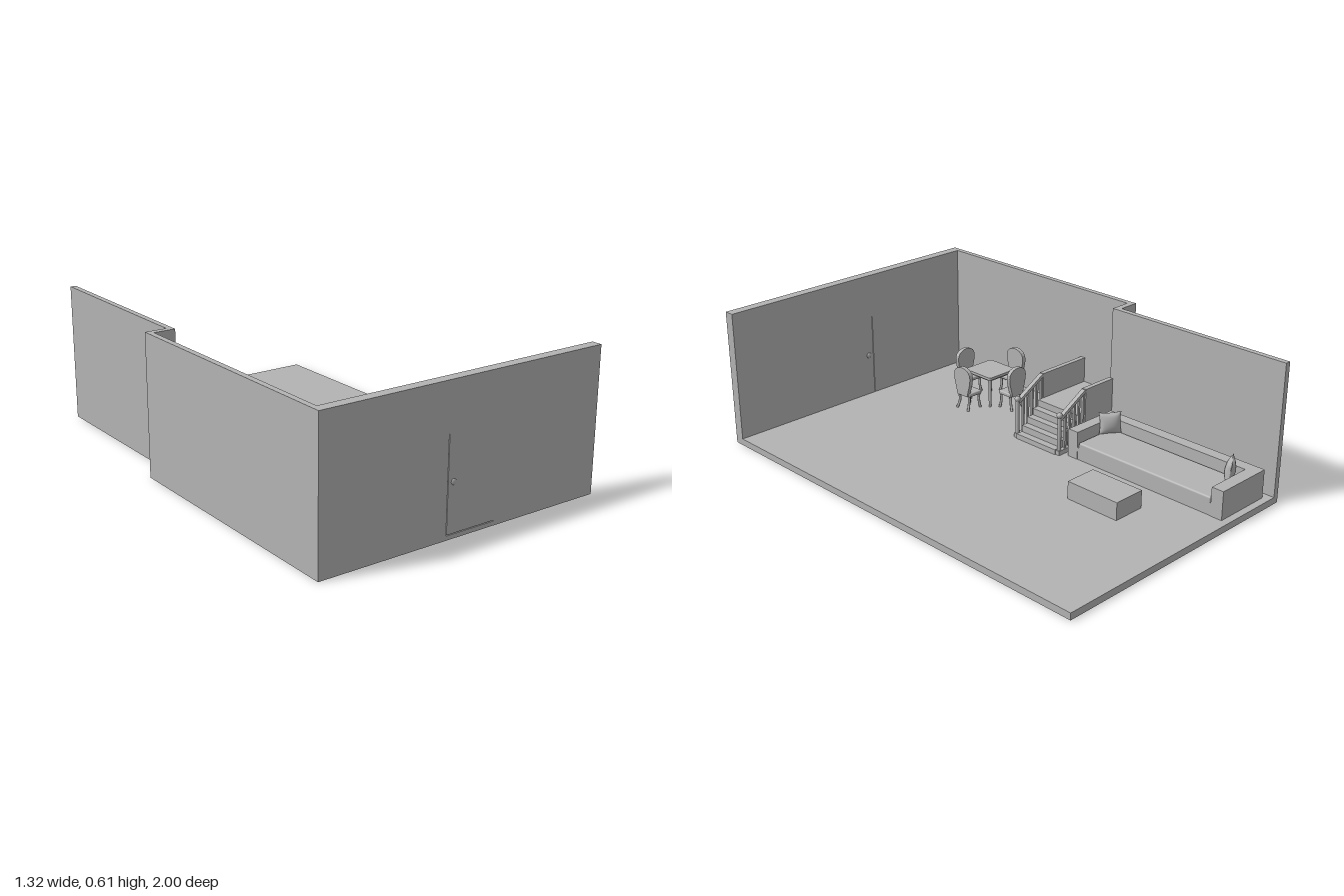
import * as THREE from 'three';
import { RoundedBoxGeometry } from 'three/addons/geometries/RoundedBoxGeometry.js';

const plaster = new THREE.MeshStandardMaterial({ color: 0xb3b3b3 });
plaster.name = 'plainGrey';

const FLOOR = 0.03;

function add(parent, name, geometry, x = 0, y = 0, z = 0) {
  const mesh = new THREE.Mesh(geometry, plaster);
  mesh.name = name;
  mesh.position.set(x, y, z);
  parent.add(mesh);
  return mesh;
}

// Box given by its lower and upper limits on each axis
function block(parent, name, x0, x1, y0, y1, z0, z1) {
  return add(parent, name, new THREE.BoxGeometry(x1 - x0, y1 - y0, z1 - z0),
    (x0 + x1) / 2, (y0 + y1) / 2, (z0 + z1) / 2);
}

function group(parent, name) {
  const g = new THREE.Group();
  g.name = name;
  parent.add(g);
  return g;
}

const outline = (points) => new THREE.Shape(points.map(([x, y]) => new THREE.Vector2(x, y)));
const extrude = (shape, depth) =>
  new THREE.ExtrudeGeometry(shape, { depth, bevelEnabled: false, curveSegments: 10 });

// Raises a plan of [x, z] points to the given height
function plan(points, height) {
  return extrude(outline(points.map(([x, z]) => [x, -z])), height).rotateX(-Math.PI / 2);
}

function buildRoom(root) {
  const room = group(root, 'room');
  add(room, 'floor', plan([[-0.635, 0.955], [0.66, 0.955], [0.66, -1], [-0.54, -1],
    [-0.54, -0.122], [-0.635, -0.122]], FLOOR));
  add(room, 'sideWall', plan([[-0.66, 0.955], [-0.635, 0.955], [-0.635, -0.122], [-0.54, -0.122],
    [-0.54, -1], [-0.565, -1], [-0.565, -0.15], [-0.66, -0.15]], 0.61));

  // Front wall with a slim gap round the door
  const wall = outline([[-0.66, 0], [0.66, 0], [0.66, 0.61], [-0.66, 0.61]]);
  wall.holes.push(outline([[-0.092, 0.018], [-0.092, 0.41], [0.142, 0.41], [0.142, 0.018]]));
  add(room, 'frontWall', extrude(wall, 0.045), 0, 0, 0.955);
  block(room, 'door', -0.089, 0.142, 0.021, 0.41, 0.955, 1);
  for (const z of [0.953, 0.998]) {
    const knob = add(room, 'doorKnob', new THREE.SphereGeometry(0.013, 20, 12), -0.063, 0.223, z);
    knob.scale.z = 0.5;
  }
}

function buildStairs(root) {
  const stairs = group(root, 'stairs');
  // Stepped profile running up to the landing
  const profile = [[-0.64, FLOOR], [-0.2, FLOOR]];
  for (let i = 0; i < 5; i++) {
    const x = -0.2 - i * 0.0335;
    const y = 0.053 + i * 0.0302;
    profile.push([x, y], [i < 4 ? x - 0.0335 : -0.64, y]);
  }
  add(stairs, 'stepsAndLanding', extrude(outline(profile), 0.23), 0, 0, -0.115);

  for (const z of [-0.125, 0.125]) {
    const rail = group(stairs, 'balustrade');
    const start = z < 0 ? -0.54 : -0.635;
    block(rail, 'landingPanel', start, -0.366, FLOOR, 0.29, z - 0.011, z + 0.011);
    block(rail, 'stringer', -0.366, -0.205, FLOOR, 0.05, z - 0.01, z + 0.01);

    // Sloped handrail and balusters
    const slope = Math.atan2(-0.085, 0.15);
    const handrail = add(rail, 'handrail', new THREE.BoxGeometry(0.172, 0.014, 0.02), -0.291, 0.24, z);
    handrail.rotation.z = slope;
    for (let i = 0; i < 5; i++) {
      const x = -0.25 - i * 0.028;
      const top = 0.24 + (x + 0.291) * Math.tan(slope);
      block(rail, 'baluster', x - 0.005, x + 0.005, 0.05, top, z - 0.005, z + 0.005);
    }
    add(rail, 'newelPost', new THREE.CylinderGeometry(0.009, 0.009, 0.18, 16), -0.215, 0.12, z);
    add(rail, 'newelCap', new THREE.SphereGeometry(0.013, 16, 10), -0.215, 0.212, z);
  }
}

// Square cushion, thick in the middle and pinched along the seams
function pillowGeometry(size, thickness) {
  const g = new THREE.BoxGeometry(2, 2, 2, 12, 12, 2);
  const p = g.attributes.position;
  for (let i = 0; i < p.count; i++) {
    const u = p.getX(i), v = p.getY(i);
    const puff = 0.04 + 0.96 * Math.sqrt((1 - u * u) * (1 - v * v));
    p.setXYZ(i,
      u * (1 - 0.1 * (1 - v * v)) * size / 2,
      v * (1 - 0.1 * (1 - u * u)) * size / 2,
      p.getZ(i) * puff * thickness / 2);
  }
  g.computeVertexNormals();
  return g;
}

function buildSofa(root) {
  const sofa = group(root, 'sofa');
  // Back and arms as one U-shaped body
  add(sofa, 'backAndArms', plan([[-0.505, -0.16], [-0.235, -0.16], [-0.235, -0.212], [-0.452, -0.212],
    [-0.452, -0.912], [-0.235, -0.912], [-0.235, -0.968], [-0.505, -0.968]], 0.126), 0, FLOOR, 0);
  block(sofa, 'seatBase', -0.452, -0.237, FLOOR, 0.085, -0.912, -0.212);
  add(sofa, 'seatCushion', new RoundedBoxGeometry(0.21, 0.045, 0.692, 3, 0.008), -0.342, 0.086, -0.562);

  const shape = pillowGeometry(0.1, 0.045);
  for (const [z, turn] of [[-0.87, 0.6], [-0.24, -0.6]]) {
    const pillow = add(sofa, 'pillow', shape, -0.41, 0.153, z);
    pillow.rotation.set(turn > 0 ? -0.15 : 0.15, turn, 0, 'YXZ');
  }
}

function buildChair(parent, angle) {
  const chair = group(parent, 'chair');
  chair.rotation.y = angle;

  // Arched backrest, narrow at the seat
  const back = new THREE.Shape();
  back.moveTo(-0.032, 0.1);
  back.bezierCurveTo(-0.04, 0.14, -0.052, 0.16, -0.052, 0.195);
  back.bezierCurveTo(-0.052, 0.25, 0.052, 0.25, 0.052, 0.195);
  back.bezierCurveTo(0.052, 0.16, 0.04, 0.14, 0.032, 0.1);
  add(chair, 'backrest', extrude(back, 0.019), 0, 0, 0.161);
  add(chair, 'seat', new RoundedBoxGeometry(0.082, 0.018, 0.075, 2, 0.005), 0, 0.106, 0.133);

  // Curved legs, splayed outward at the foot
  for (const x of [-0.032, 0.032]) {
    for (const [z, out] of [[0.104, -0.004], [0.166, 0.012]]) {
      const path = new THREE.CatmullRomCurve3([
        new THREE.Vector3(x, 0.1, z),
        new THREE.Vector3(x * 0.95, 0.065, z),
        new THREE.Vector3(x * 1.12, FLOOR, z + out),
      ]);
      add(chair, 'leg', new THREE.TubeGeometry(path, 8, 0.006, 8));
    }
  }
}

function buildDining(root) {
  const dining = group(root, 'diningSet');
  dining.position.set(-0.425, 0, 0.512);

  // Table top with rounded corners
  const h = 0.083, r = 0.012;
  const top = new THREE.Shape();
  top.moveTo(-h + r, -h);
  top.lineTo(h - r, -h);
  top.quadraticCurveTo(h, -h, h, -h + r);
  top.lineTo(h, h - r);
  top.quadraticCurveTo(h, h, h - r, h);
  top.lineTo(-h + r, h);
  top.quadraticCurveTo(-h, h, -h, h - r);
  top.lineTo(-h, -h + r);
  top.quadraticCurveTo(-h, -h, -h + r, -h);
  add(dining, 'tableTop', extrude(top, 0.012).rotateX(-Math.PI / 2), 0, 0.168, 0);
  block(dining, 'tableApron', -0.066, 0.066, 0.155, 0.168, -0.066, 0.066);
  for (const x of [-0.066, 0.066]) {
    for (const z of [-0.066, 0.066]) {
      add(dining, 'tableLeg', new THREE.CylinderGeometry(0.009, 0.006, 0.138, 12), x, 0.099, z);
    }
  }
  for (let i = 0; i < 4; i++) buildChair(dining, i * Math.PI / 2);
}

export function createModel() {
  const root = new THREE.Group();
  root.name = 'furnishedRoom';
  buildRoom(root);
  buildStairs(root);
  buildSofa(root);
  block(root, 'coffeeTable', -0.095, 0.055, FLOOR, 0.108, -0.682, -0.425);
  buildDining(root);
  return root;
}
